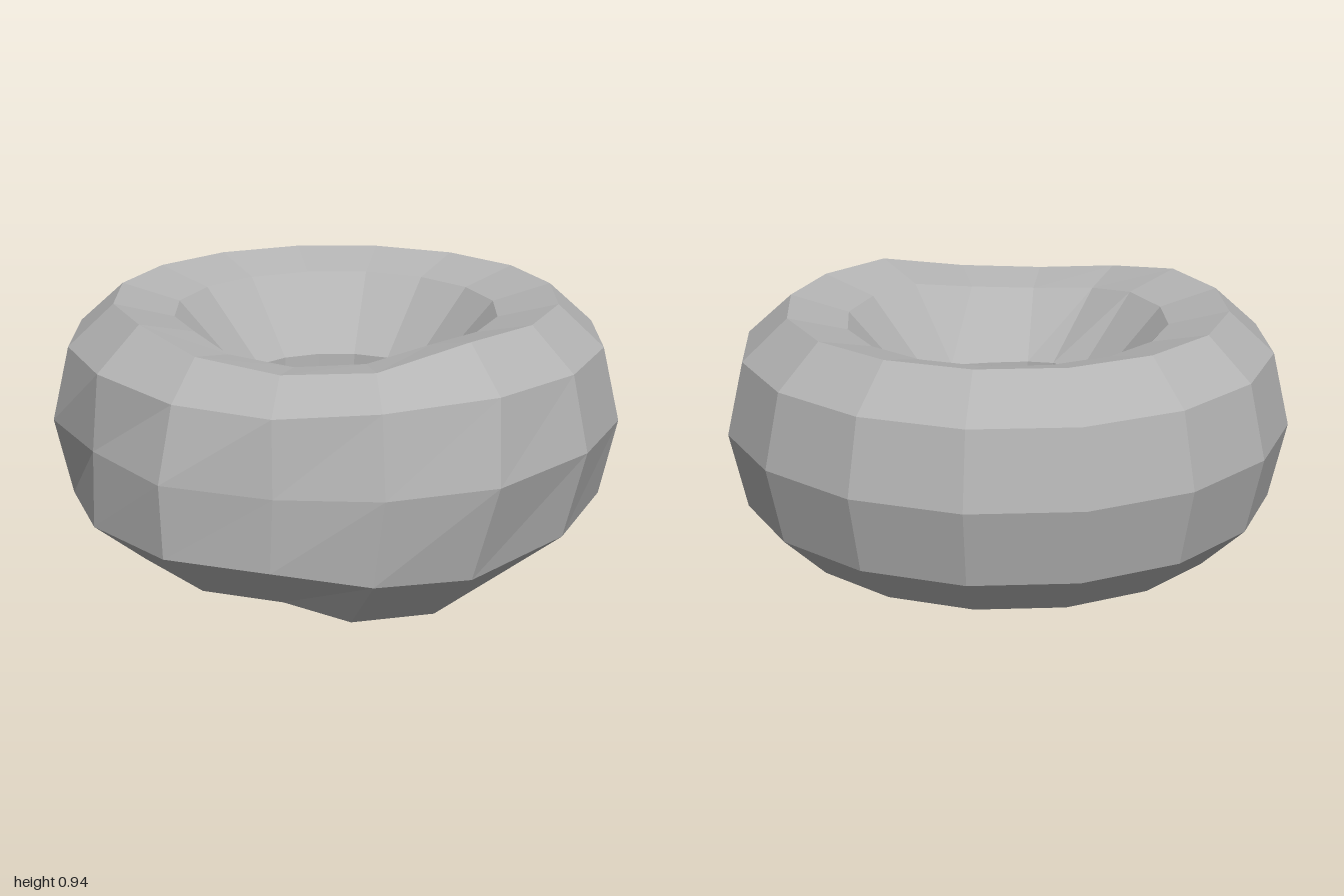
import * as THREE from 'three';

const SEGMENTS = 16;
const CENTRE_Z = 0.02;

// Cross-section as [radius, height], from the outer equator over the top, down the hole and back underneath
const PROFILE = [
  [1.0, 0.53], [0.94, 0.79], [0.78, 0.935], [0.57, 0.88], [0.34, 0.62],
  [0.325, 0.27], [0.57, 0.14], [0.78, 0.105], [0.94, 0.26],
];

// Hand-shaped dents and the bulge along the front: ring -> segment -> [x, y, z]
const SHAPED = {
  0: { 0: [-0.01, 0.5, 0.97], 1: [0.34, 0.5, 0.92], 2: [0.68, 0.51, 0.75], 14: [-0.68, 0.53, 0.71], 15: [-0.39, 0.51, 0.94] },
  1: { 0: [-0.02, 0.75, 0.93], 1: [0.32, 0.77, 0.87], 15: [-0.36, 0.76, 0.87] },
  2: { 0: [-0.02, 0.86, 0.81], 1: [0.28, 0.87, 0.76], 15: [-0.31, 0.89, 0.76] },
  3: { 0: [-0.02, 0.83, 0.61], 1: [0.21, 0.84, 0.56], 15: [-0.25, 0.85, 0.57] },
  4: { 0: [-0.03, 0.61, 0.37], 1: [0.1, 0.61, 0.34] },
  7: { 0: [-0.02, 0.08, 0.79], 1: [0.2, 0.015, 0.76], 2: [0.45, 0, 0.6], 3: [0.7, 0.1, 0.33], 15: [-0.3, 0.085, 0.76] },
  8: { 0: [-0.02, 0.25, 0.97], 1: [0.3, 0.2, 0.9], 2: [0.59, 0.18, 0.72], 3: [0.85, 0.23, 0.4], 15: [-0.38, 0.26, 0.94], 14: [-0.69, 0.26, 0.7] },
};

function ringPoint(ring, segment) {
  const shaped = SHAPED[ring]?.[segment];
  if (shaped) return shaped;
  const [radius, height] = PROFILE[ring];
  const angle = (segment / SEGMENTS) * Math.PI * 2;
  return [radius * Math.sin(angle), height, CENTRE_Z + radius * Math.cos(angle)];
}

export function createModel() {
  const group = new THREE.Group();
  const grey = new THREE.MeshStandardMaterial({ color: 0xb4b4b4, flatShading: true });
  grey.name = 'stone grey';

  const positions = [];
  const indices = [];
  const rings = PROFILE.length;
  for (let ring = 0; ring < rings; ring++) {
    for (let s = 0; s < SEGMENTS; s++) positions.push(...ringPoint(ring, s));
  }
  // Join neighbouring rings, closing both ways round
  for (let ring = 0; ring < rings; ring++) {
    const next = (ring + 1) % rings;
    for (let s = 0; s < SEGMENTS; s++) {
      const t = (s + 1) % SEGMENTS;
      const a = ring * SEGMENTS + s, b = ring * SEGMENTS + t;
      const c = next * SEGMENTS + t, d = next * SEGMENTS + s;
      indices.push(a, b, c, a, c, d);
    }
  }

  const indexed = new THREE.BufferGeometry();
  indexed.setAttribute('position', new THREE.Float32BufferAttribute(positions, 3));
  indexed.setIndex(indices);
  const geometry = indexed.toNonIndexed();
  geometry.computeVertexNormals();

  const ringBody = new THREE.Mesh(geometry, grey);
  ringBody.name = 'ringBody';
  group.add(ringBody);
  return group;
}
